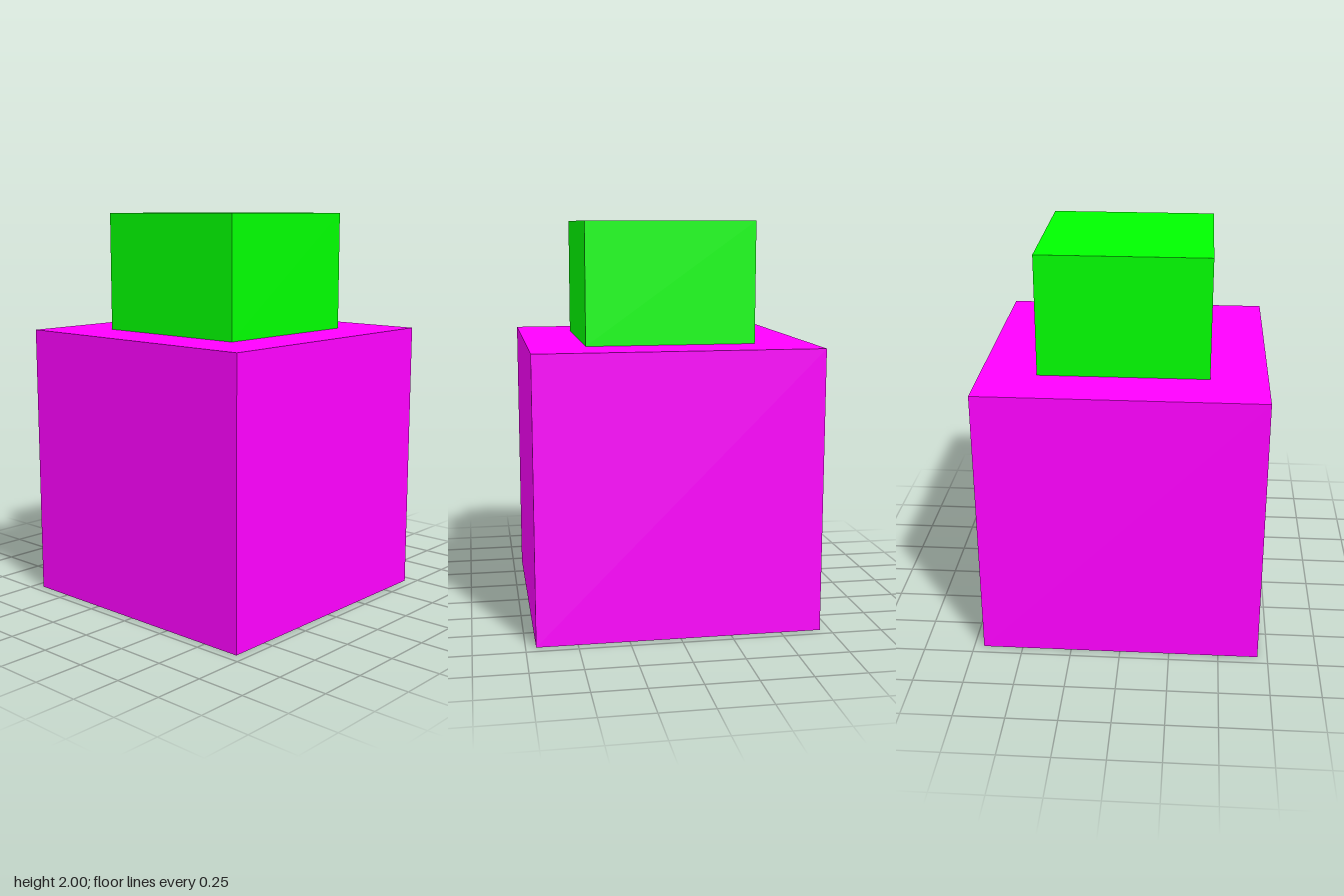
import * as THREE from 'three';

// Square block of a given width, standing on height y0
function block(name, width, height, y0, color) {
  const mesh = new THREE.Mesh(
    new THREE.BoxGeometry(width, height, width),
    new THREE.MeshStandardMaterial({ color })
  );
  mesh.name = name;
  mesh.position.y = y0 + height / 2;
  return mesh;
}

export function createModel() {
  const model = new THREE.Group();
  model.name = 'stackedBlocks';
  model.add(
    block('lowerBlock', 1.4, 1.4, 0, 0xff00ff),
    block('upperBlock', 0.84, 0.6, 1.4, 0x00ff00)
  );
  return model;
}
